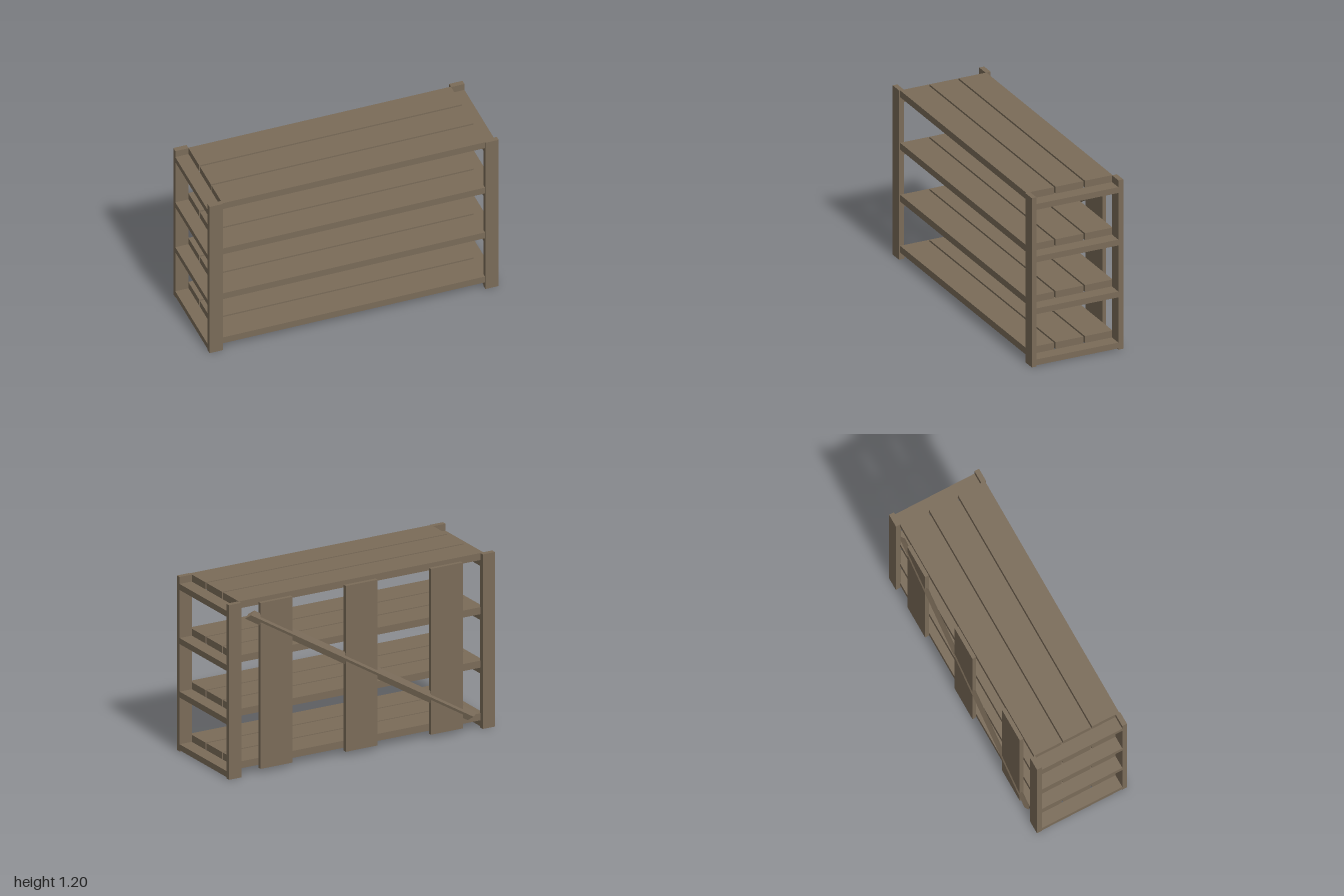
import * as THREE from 'three';

const wood = new THREE.MeshStandardMaterial({ color: 0x7a6b58 });

// Box given by its [min, max] extents on each axis
function board(name, [x0, x1], [y0, y1], [z0, z1]) {
  const mesh = new THREE.Mesh(new THREE.BoxGeometry(x1 - x0, y1 - y0, z1 - z0), wood);
  mesh.position.set((x0 + x1) / 2, (y0 + y1) / 2, (z0 + z1) / 2);
  mesh.name = name;
  return mesh;
}

export function createModel() {
  const rack = new THREE.Group();
  rack.name = 'shelfRack';
  const shelfBottoms = [0.05, 0.412, 0.78, 1.152];

  // End frames: two posts joined by a rail under every shelf
  for (const side of [-1, 1]) {
    const frame = new THREE.Group();
    frame.name = side > 0 ? 'leftEndFrame' : 'rightEndFrame';
    const span = side > 0 ? [0.908, 1] : [-1, -0.908];
    frame.add(board('frontPost', span, [0, 1.2], [0.299, 0.333]));
    frame.add(board('backPost', span, [0, 1.2], [-0.33, -0.294]));
    for (const y of shelfBottoms) {
      frame.add(board('sideRail', span, [y - 0.041, y], [-0.294, 0.299]));
    }
    rack.add(frame);
  }

  // Shelves of three planks with narrow gaps
  for (const y of shelfBottoms) {
    const shelf = new THREE.Group();
    shelf.name = 'shelf';
    for (let i = 0; i < 3; i++) {
      const z = -0.299 + i * 0.2125;
      shelf.add(board('shelfPlank', [-0.908, 0.908], [y, y + 0.048], [z, z + 0.2]));
    }
    rack.add(shelf);
  }

  // Upright boards across the back
  for (const x of [-0.64, 0, 0.64]) {
    rack.add(board('backBoard', [x - 0.12, x + 0.12], [0.03, 1.17], [-0.326, -0.299]));
  }

  // Diagonal brace: diamond section with slanted ends
  const bar = new THREE.CylinderGeometry(1, 1, 1, 4).toNonIndexed();
  bar.applyMatrix4(new THREE.Matrix4().makeBasis(
    new THREE.Vector3(0.035, -0.0215, 0),
    new THREE.Vector3(1.674, 1.005, 0),
    new THREE.Vector3(0, 0, 0.0165)
  ));
  bar.computeVertexNormals();
  const brace = new THREE.Mesh(bar, wood);
  brace.name = 'diagonalBrace';
  brace.position.set(0, 0.6, -0.3165);
  rack.add(brace);

  return rack;
}
